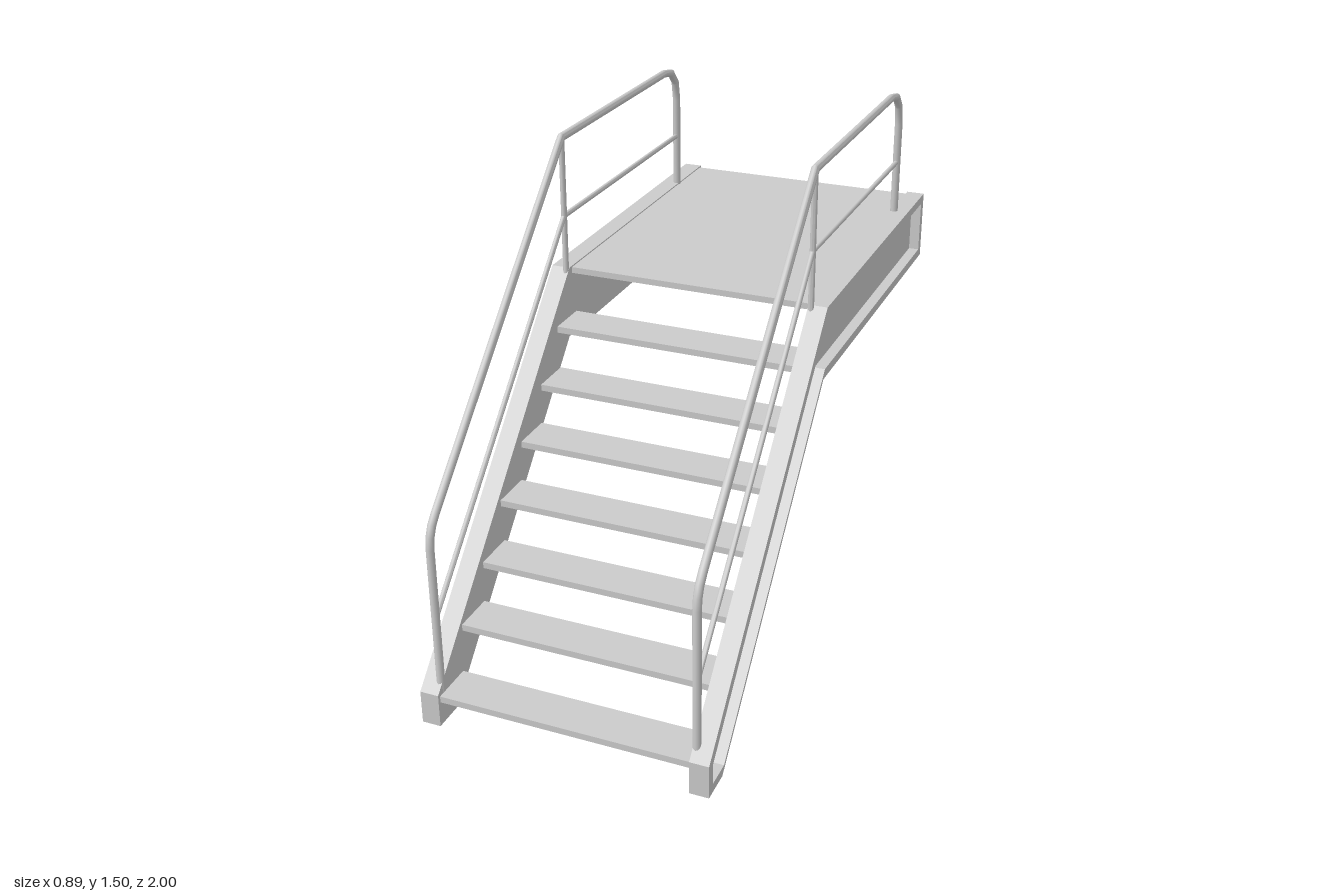
import * as THREE from 'three';
import { toCreasedNormals } from 'three/addons/utils/BufferGeometryUtils.js';

const material = new THREE.MeshStandardMaterial({ color: 0xcccccc });
const INNER = 0.385, WEB = 0.41, OUTER = 0.443;

function addMesh(parent, name, geometry) {
  const mesh = new THREE.Mesh(geometry, material);
  mesh.name = name;
  parent.add(mesh);
  return mesh;
}

function addBox(parent, name, width, y0, y1, z0, z1) {
  const mesh = addMesh(parent, name, new THREE.BoxGeometry(width, y1 - y0, z1 - z0));
  mesh.position.set(0, (y0 + y1) / 2, (z0 + z1) / 2);
}

// Stringer outline and the recess in its outer face, as [z, y]
const outline = [[1, 0], [1, 0.105], [0.08, 1.073], [-1, 1.073], [-1, 0.85], [0.095, 0.85], [0.9, 0]];
const recess = [[0.97, 0.028], [0.97, 0.094], [0.068, 1.045], [-0.972, 1.045], [-0.972, 0.878], [0.084, 0.878], [0.888, 0.028]];
const toPoints = (list) => list.map(([z, y]) => new THREE.Vector2(z, y));

// Plate extruded across x between two distances from the centre
function plate(side, near, far, hole) {
  const shape = new THREE.Shape(toPoints(outline));
  if (hole) shape.holes.push(new THREE.Path(toPoints(hole)));
  const geometry = new THREE.ExtrudeGeometry(shape, { depth: far - near, bevelEnabled: false });
  geometry.rotateY(-Math.PI / 2);
  geometry.translate(side > 0 ? far : -near, 0, 0);
  return geometry;
}

// Round bar with mitred corners and closed ends along a [z, y] path, at a fixed x
function bar(path, x, radius, sides = 10) {
  const pts = toPoints(path), last = pts.length - 1;
  const positions = [], index = [];
  const ring = (p, n, across, along) => {
    for (let j = 0; j < sides; j++) {
      const a = (j / sides) * Math.PI * 2;
      const c = Math.cos(a) * along;
      positions.push(x - Math.sin(a) * across, p.y + n.y * c, p.x + n.x * c);
    }
  };
  pts.forEach((p, i) => {
    const before = p.clone().sub(pts[Math.max(i - 1, 0)]).normalize();
    const after = pts[Math.min(i + 1, last)].clone().sub(p).normalize();
    const tangent = before.clone().add(after).normalize();
    const n = new THREE.Vector2(-tangent.y, tangent.x);
    const stretch = 1 / tangent.dot(i < last ? after : before);
    if (i === 0) ring(p, n, 0, 0);
    ring(p, n, radius, radius * stretch);
    if (i === last) ring(p, n, 0, 0);
  });
  const rings = positions.length / 3 / sides;
  for (let i = 0; i < rings - 1; i++) {
    for (let j = 0; j < sides; j++) {
      const a = i * sides + j, b = i * sides + (j + 1) % sides;
      index.push(a, b, a + sides, b, b + sides, a + sides);
    }
  }
  const geometry = new THREE.BufferGeometry();
  geometry.setAttribute('position', new THREE.Float32BufferAttribute(positions, 3));
  geometry.setIndex(index);
  return toCreasedNormals(geometry, 0.7);
}

// Points rounding a corner from a to b around the control point c
function bend(a, c, b, steps = 3) {
  const curve = new THREE.QuadraticBezierCurve(...toPoints([a, c, b]));
  return curve.getPoints(steps).map((p) => [p.x, p.y]);
}

export function createModel() {
  const model = new THREE.Group();
  model.name = 'staircase';

  // Treads: top height and front edge
  const treads = [[0.097, 0.99], [0.25, 0.845], [0.38, 0.705], [0.522, 0.582], [0.647, 0.438], [0.773, 0.297], [0.915, 0.175]];
  treads.forEach(([y, z], i) => addBox(model, `tread${i + 1}`, INNER * 2, y - 0.02, y, z - 0.133, z));

  // Upper landing
  addBox(model, 'landing', INNER * 2, 1.05, 1.069, -0.99, 0.063);

  const handrailPath = [
    [0.965, 0.1],
    ...bend([0.965, 0.57], [0.965, 0.625], [0.925, 0.662]),
    [0.085, 1.487],
    ...bend([-0.69, 1.487], [-0.797, 1.487], [-0.797, 1.37]),
    [-0.797, 0.89],
  ];
  const midRailPath = [[0.96, 0.35], [0.085, 1.242], [-0.797, 1.242]];
  const midPostPath = [[0.085, 0.93], [0.085, 1.485]];

  // Channel stringers and railings on both sides
  for (const [side, label] of [[1, 'left'], [-1, 'right']]) {
    const stringer = new THREE.Group();
    stringer.name = `${label}Stringer`;
    addMesh(stringer, 'web', plate(side, INNER, WEB));
    addMesh(stringer, 'flange', plate(side, WEB, OUTER, recess));

    const railing = new THREE.Group();
    railing.name = `${label}Railing`;
    const x = side * 0.394;
    addMesh(railing, 'handrail', bar(handrailPath, x, 0.0125));
    addMesh(railing, 'midRail', bar(midRailPath, x, 0.008));
    addMesh(railing, 'middlePost', bar(midPostPath, x, 0.009));
    model.add(stringer, railing);
  }
  return model;
}
